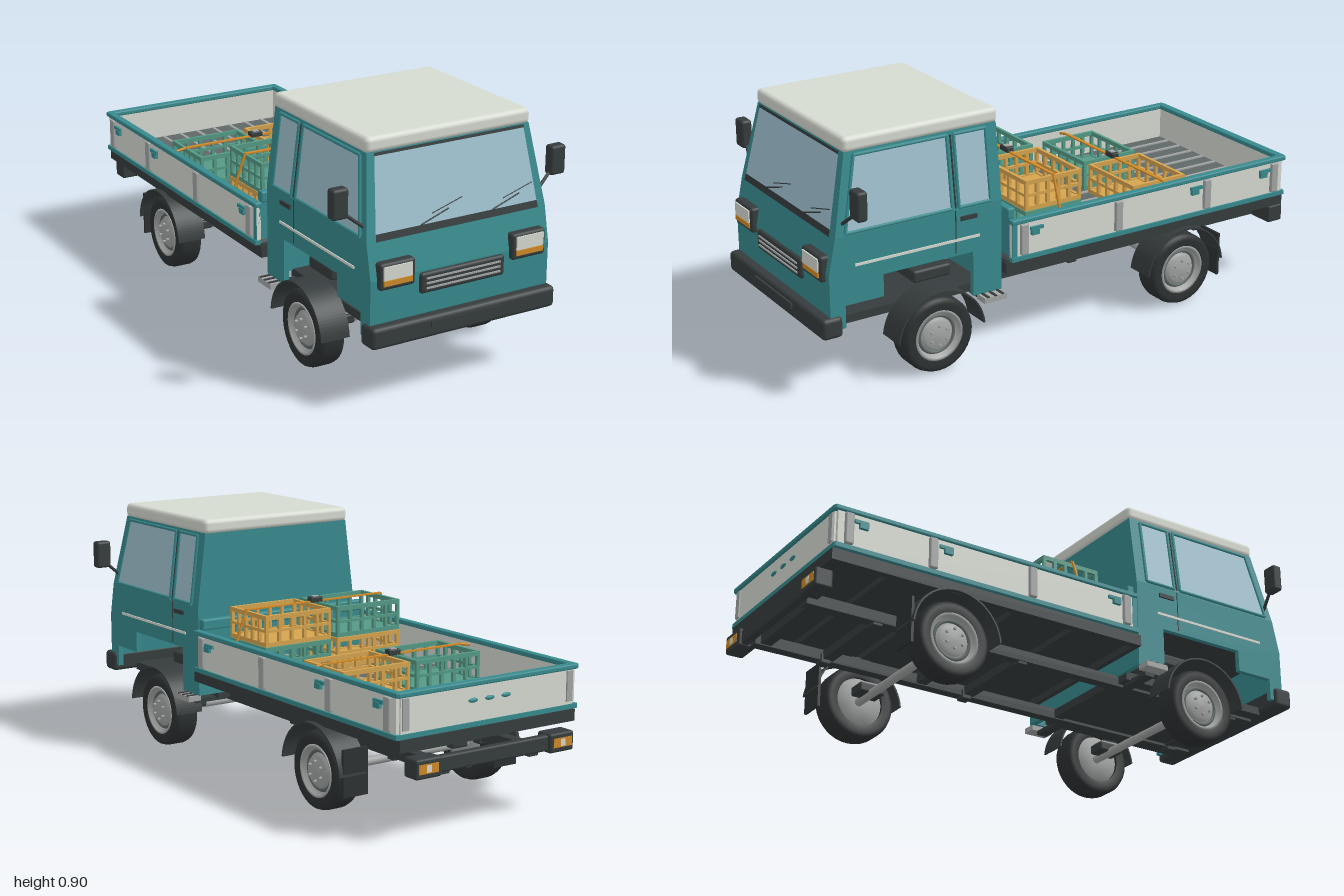
import * as THREE from 'three';
import { RoundedBoxGeometry } from 'three/addons/geometries/RoundedBoxGeometry.js';

const mat = (name, color, side = THREE.FrontSide) => {
  const m = new THREE.MeshStandardMaterial({ color, side });
  m.name = name;
  return m;
};

export function createModel() {
  const teal = mat('teal paint', 0x388b8f);
  const pale = mat('pale grey paint', 0xd6dbd1);
  const glass = mat('window glass', 0x9fc1cf, THREE.DoubleSide);
  const dark = mat('dark trim', 0x363c3d, THREE.DoubleSide);
  const rubber = mat('tyre rubber', 0x2d3132, THREE.DoubleSide);
  const metal = mat('bare metal', 0xa3a6a5, THREE.DoubleSide);
  const deckGrey = mat('deck grey', 0x5f6868);
  const orange = mat('indicator orange', 0xd08a28);
  const amber = mat('amber crate', 0xd6a44e);
  const green = mat('green crate', 0x549a86);

  const truck = new THREE.Group();
  truck.name = 'truck';

  const add = (name, geo, m, parent = truck) => {
    const mesh = new THREE.Mesh(geo, m);
    mesh.name = name;
    parent.add(mesh);
    return mesh;
  };
  // Box given by its limits on each axis
  const box = (name, m, x0, x1, y0, y1, z0, z1, r = 0, parent = truck) => {
    const s = [x1 - x0, y1 - y0, z1 - z0];
    const geo = r ? new RoundedBoxGeometry(...s, 2, r) : new THREE.BoxGeometry(...s);
    return add(name, geo.translate((x0 + x1) / 2, (y0 + y1) / 2, (z0 + z1) / 2), m, parent);
  };
  // The same box on both sides of the truck
  const pair = (name, m, x0, x1, y0, y1, z0, z1, r = 0) => {
    box(name + 'Left', m, x0, x1, y0, y1, z0, z1, r);
    box(name + 'Right', m, -x1, -x0, y0, y1, z0, z1, r);
  };
  const rod = (name, m, a, b, r) => {
    const p = new THREE.Vector3(...a), q = new THREE.Vector3(...b), d = q.clone().sub(p);
    const mesh = add(name, new THREE.CylinderGeometry(r, r, d.length(), 10), m);
    mesh.position.copy(p).add(q).multiplyScalar(0.5);
    mesh.quaternion.setFromUnitVectors(new THREE.Vector3(0, 1, 0), d.normalize());
  };
  // (z, y) outline extruded across x
  const extrudeX = (name, m, pts, x0, x1) => {
    const shape = new THREE.Shape(pts.map(p => new THREE.Vector2(...p)));
    const geo = new THREE.ExtrudeGeometry(shape, { depth: x1 - x0, bevelEnabled: false });
    return add(name, geo.rotateY(-Math.PI / 2).translate(x1, 0, 0), m);
  };
  const faces = (pts, index) => {
    const g = new THREE.BufferGeometry();
    g.setAttribute('position', new THREE.Float32BufferAttribute(pts.flat(), 3));
    g.setIndex(index);
    const flat = g.toNonIndexed();
    flat.computeVertexNormals();
    return flat;
  };
  const quad = (name, m, pts) => add(name, faces(pts, [0, 1, 2, 0, 2, 3]), m);

  // Cab: the upper part tapers from the belt line to the roof
  const slope = y => (y - 0.575) / 0.275;
  const sideX = y => 0.35 - 0.035 * slope(y);
  const frontZ = y => 0.93 - 0.06 * slope(y);
  const ring = y => [[-sideX(y), y, frontZ(y)], [sideX(y), y, frontZ(y)], [sideX(y), y, 0.29], [-sideX(y), y, 0.29]];
  const shell = [3, 2, 1, 3, 1, 0, 4, 5, 6, 4, 6, 7];
  for (let i = 0; i < 4; i++) {
    const j = (i + 1) % 4;
    shell.push(i, j, j + 4, i, j + 4, i + 4);
  }
  add('upperCab', faces([...ring(0.575), ...ring(0.85)], shell), teal);
  const cabSide = [[0.93, 0.576], [0.957, 0.45], [0.957, 0.25], [0.9, 0.25], [0.9, 0.33], [0.755, 0.33],
    [0.755, 0.41], [0.405, 0.41], [0.405, 0.245], [0.29, 0.245], [0.29, 0.576]];
  extrudeX('cabSideLeft', teal, cabSide, 0.33, 0.35);
  extrudeX('cabSideRight', teal, cabSide, -0.35, -0.33);
  extrudeX('frontPanel', teal, [[0.93, 0.576], [0.957, 0.45], [0.957, 0.25], [0.92, 0.25], [0.89, 0.576]], -0.332, 0.332);
  box('cabBackWall', teal, -0.335, 0.335, 0.245, 0.576, 0.29, 0.31);
  box('cabLiner', dark, -0.33, 0.33, 0.412, 0.425, 0.31, 0.9);
  box('cabFloor', dark, -0.26, 0.26, 0.22, 0.25, 0.3, 0.92);
  box('roof', pale, -0.32, 0.32, 0.845, 0.9, 0.283, 0.875, 0.018);

  // Windows and their trim
  const front = (x, y, o = 0.004) => [x, y, frontZ(y) + o];
  const strip = (name, w0, y0, w1, y1) => quad(name, dark, [front(-w0, y0, 0.005), front(w0, y0, 0.005), front(w1, y1, 0.005), front(-w1, y1, 0.005)]);
  quad('windscreen', glass, [front(-0.315, 0.595), front(0.315, 0.595), front(0.29, 0.84), front(-0.29, 0.84)]);
  strip('windscreenSill', 0.318, 0.572, 0.315, 0.596);
  strip('windscreenHeader', 0.292, 0.838, 0.29, 0.848);
  for (const s of [-1, 1]) {
    const side = (y, z) => [s * (sideX(y) + 0.003), y, z];
    const sideWindow = (name, z0, z1, z2, z3) => {
      const pts = [side(0.585, z0), side(0.585, z1), side(0.837, z2), side(0.837, z3)];
      quad(name, glass, pts);
      pts.forEach((p, i) => rod(name + 'Frame', teal, p, pts[(i + 1) % 4], 0.006));
    };
    sideWindow('doorWindow', 0.893, 0.487, 0.487, 0.838);
    sideWindow('quarterWindow', 0.46, 0.335, 0.335, 0.46);
    rod('doorGap', dark, side(0.585, 0.473), side(0.837, 0.473), 0.003);
    const x0 = s < 0 ? -0.145 : 0.135;
    rod('wiperArm', dark, front(x0, 0.598, 0.008), front(x0 + 0.11, 0.632, 0.008), 0.0025);
    rod('wiperBlade', dark, front(x0 + 0.045, 0.627, 0.008), front(x0 + 0.165, 0.659, 0.008), 0.0017);
    rod('mirrorArm', dark, [s * 0.338, 0.615, 0.9], [s * 0.41, 0.672, 0.88], 0.006);
  }
  pair('mirror', dark, 0.395, 0.455, 0.655, 0.758, 0.86, 0.9, 0.01);
  pair('sideTrim', pale, 0.349, 0.354, 0.463, 0.472, 0.38, 0.86);
  pair('doorHandle', dark, 0.349, 0.357, 0.535, 0.55, 0.39, 0.455);
  pair('doorPillar', dark, 0.349, 0.352, 0.42, 0.575, 0.472, 0.475);

  // Front lamps, grille and bumper
  pair('headlampSurround', dark, 0.19, 0.325, 0.418, 0.51, 0.935, 0.975, 0.01);
  pair('headlamp', pale, 0.205, 0.313, 0.454, 0.5, 0.965, 0.98);
  pair('indicator', orange, 0.205, 0.313, 0.434, 0.452, 0.965, 0.98);
  box('grille', dark, -0.165, 0.165, 0.373, 0.445, 0.94, 0.97, 0.01);
  for (let i = 0; i < 3; i++) box('grilleBar', metal, -0.145, 0.145, 0.389 + i * 0.017, 0.395 + i * 0.017, 0.965, 0.974);
  box('frontBumper', dark, -0.362, 0.362, 0.225, 0.3, 0.915, 0.992, 0.015);
  box('bumperInset', dark, -0.14, 0.14, 0.264, 0.284, 0.985, 1);

  // Seat base seen through the open wheel arch
  pair('seatBase', dark, 0.1, 0.28, 0.31, 0.355, 0.45, 0.6, 0.01);
  pair('seatPost', metal, 0.15, 0.23, 0.35, 0.415, 0.43, 0.47);

  // Chassis
  pair('chassisRail', dark, 0.17, 0.21, 0.21, 0.25, -0.96, 0.92);
  for (const z of [0.82, 0.3, -0.1, -0.3, -0.68, -0.92]) box('crossMember', dark, -0.2, 0.2, 0.214, 0.245, z - 0.02, z + 0.02);
  for (const z of [0.83, -0.11, -0.69]) pair('railBracket', dark, 0.165, 0.205, 0.198, 0.235, z - 0.02, z + 0.02, 0.005);
  pair('step', metal, 0.34, 0.392, 0.225, 0.245, 0.295, 0.385);
  for (const z of [0.31, 0.34, 0.37]) pair('stepTread', dark, 0.35, 0.392, 0.244, 0.248, z - 0.005, z + 0.005);
  pair('stepBracket', dark, 0.2, 0.345, 0.21, 0.226, 0.32, 0.36);
  box('rearBar', dark, -0.33, 0.33, 0.225, 0.28, -0.985, -0.955, 0.008);
  pair('rearLampHousing', dark, 0.23, 0.335, 0.218, 0.285, -0.997, -0.93, 0.008);
  pair('rearLampAmber', orange, 0.245, 0.325, 0.236, 0.268, -0.999, -0.99);
  pair('reverseLamp', pale, 0.275, 0.295, 0.24, 0.264, -1, -0.99);

  // Wheels, axles and mudguards
  const profile = pts => new THREE.LatheGeometry(pts.map(p => new THREE.Vector2(...p)), 36);
  const tyre = profile([[0.09, -0.045], [0.118, -0.05], [0.132, -0.043], [0.137, -0.028], [0.137, 0.028], [0.132, 0.043], [0.118, 0.05], [0.09, 0.045]]);
  const rim = profile([[0, -0.035], [0.09, -0.035], [0.093, 0.046], [0.083, 0.046], [0.076, 0.025], [0.056, 0.028], [0.05, 0.043], [0, 0.045]]);
  const groove = new THREE.TorusGeometry(0.068, 0.007, 6, 36).rotateX(Math.PI / 2).translate(0, 0.026, 0);
  for (const z of [0.555, -0.49]) {
    rod('axle', metal, [-0.29, 0.14, z], [0.29, 0.14, z], 0.016);
    pair('springMount', dark, 0.185, 0.257, 0.14, 0.175, z - 0.05, z + 0.05, 0.008);
    pair('springPad', metal, 0.192, 0.25, 0.174, 0.181, z - 0.04, z + 0.04);
    const guard = new THREE.Shape();
    guard.absarc(z, 0.14, 0.172, 0.1, Math.PI - 0.1, false);
    guard.absarc(z, 0.14, 0.166, Math.PI - 0.1, 0.1, true);
    for (const s of [-1, 1]) {
      const wheel = new THREE.Group();
      wheel.name = 'wheel';
      wheel.position.set(s * 0.323, 0.14, z);
      wheel.rotation.z = -s * Math.PI / 2;
      truck.add(wheel);
      add('tyre', tyre, rubber, wheel);
      add('rim', rim, metal, wheel);
      add('rimGroove', groove, deckGrey, wheel);
      for (let i = 0; i < 6; i++) {
        const a = i * Math.PI / 3;
        add('wheelNut', new THREE.CylinderGeometry(0.005, 0.005, 0.012, 6), metal, wheel)
          .position.set(Math.cos(a) * 0.035, 0.048, Math.sin(a) * 0.035);
      }
      const geo = new THREE.ExtrudeGeometry(guard, { depth: 0.11, bevelEnabled: false, curveSegments: 24 });
      add('mudguard', geo.rotateY(-Math.PI / 2).translate(s > 0 ? 0.392 : -0.282, 0, 0), dark);
    }
  }
  pair('mudFlap', rubber, 0.275, 0.376, 0.085, 0.25, -0.66, -0.65);

  // Load bed
  pair('deckEdge', dark, 0.345, 0.372, 0.305, 0.346, -0.955, 0.285);
  box('deckEdgeFront', dark, -0.372, 0.372, 0.305, 0.346, 0.265, 0.285);
  box('deckEdgeRear', dark, -0.372, 0.372, 0.305, 0.346, -0.958, -0.935);
  for (const z of [0.03, -0.22, -0.47, -0.72]) box('deckBearer', dark, -0.35, 0.35, 0.308, 0.335, z - 0.02, z + 0.02);
  box('deckUnderside', dark, -0.365, 0.365, 0.33, 0.352, -0.95, 0.28);
  box('deck', deckGrey, -0.365, 0.365, 0.352, 0.365, -0.945, 0.265);
  for (let i = -4; i <= 4; i++) box('deckRib', metal, i * 0.075 - 0.006, i * 0.075 + 0.006, 0.364, 0.37, -0.93, 0.24);
  pair('sideBoard', pale, 0.362, 0.378, 0.36, 0.488, -0.945, 0.265);
  pair('sideTopRail', teal, 0.358, 0.386, 0.484, 0.502, -0.958, 0.268, 0.005);
  pair('sideBottomRail', teal, 0.362, 0.385, 0.348, 0.364, -0.955, 0.268);
  box('tailgate', pale, -0.365, 0.365, 0.36, 0.488, -0.952, -0.936);
  box('tailgateTopRail', teal, -0.38, 0.38, 0.484, 0.502, -0.962, -0.93, 0.005);
  box('tailgateBottomRail', teal, -0.38, 0.38, 0.348, 0.364, -0.957, -0.936);
  box('headboard', teal, -0.38, 0.38, 0.348, 0.5, 0.245, 0.265);
  box('headboardRail', teal, -0.36, 0.36, 0.5, 0.54, 0.24, 0.27, 0.006);
  for (const z of [0.217, -0.185, -0.585, -0.905]) pair('bedPost', metal, 0.37, 0.39, 0.368, 0.482, z - 0.016, z + 0.016, 0.005);
  for (const z of [0.165, -0.535, -0.86]) {
    pair('bedLatch', teal, 0.376, 0.387, 0.452, 0.464, z - 0.026, z + 0.026);
    pair('bedLatchCatch', teal, 0.376, 0.39, 0.435, 0.455, z - 0.008, z + 0.024);
  }
  for (const x of [-0.07, 0, 0.07]) {
    add('tailgateGrip', new THREE.SphereGeometry(1, 16, 8).scale(0.02, 0.008, 0.007), teal).position.set(x, 0.436, -0.952);
  }
  pair('tailgateLatch', metal, 0.335, 0.36, 0.375, 0.48, -0.958, -0.95);

  // Open crates, stacked two high behind the cab
  const crate = (m, x, y, z) => {
    const c = new THREE.Group(), w = 0.135, d = 0.112, h = 0.113, t = 0.006;
    c.name = 'crate';
    c.position.set(x, y, z);
    truck.add(c);
    const bar = (...l) => box('crateBar', m, ...l, 0, c);
    box('crateFloor', m, -w, w, 0, 0.012, -d, d, 0, c);
    for (const s of [-1, 1]) {
      for (const [y0, y1] of [[0, 0.016], [0.052, 0.062], [h - 0.016, h]]) {
        bar(-w, w, y0, y1, s * d - t, s * d + t);
        bar(s * w - t, s * w + t, y0, y1, -d, d);
      }
      for (let i = 0; i <= 5; i++) {
        const px = -w + i * w * 0.4, pz = -d + i * d * 0.4;
        bar(px - t, px + t, 0, h, s * d - t, s * d + t);
        bar(s * w - t, s * w + t, 0, h, pz - t, pz + t);
      }
    }
  };
  for (const [z, y, swap] of [[-0.43, 0.37, 1], [0.037, 0.37, -1], [0.037, 0.485, 1]]) {
    crate(amber, swap * 0.155, y, z);
    crate(green, -swap * 0.155, y, z);
  }

  // Tie-down straps with buckles
  for (const [z, y] of [[-0.43, 0.486], [0.042, 0.601]]) {
    box('strap', orange, -0.3, 0.3, y, y + 0.005, z - 0.007, z + 0.007);
    for (const s of [-1, 1]) rod('strapEnd', orange, [s * 0.3, y + 0.002, z], [s * 0.345, 0.48, z], 0.005);
    box('strapBuckle', dark, -0.025, 0.025, y, y + 0.02, z - 0.015, z + 0.015, 0.004);
    box('buckleLever', metal, -0.012, 0.012, y + 0.018, y + 0.023, z - 0.01, z + 0.01);
  }
  return truck;
}
